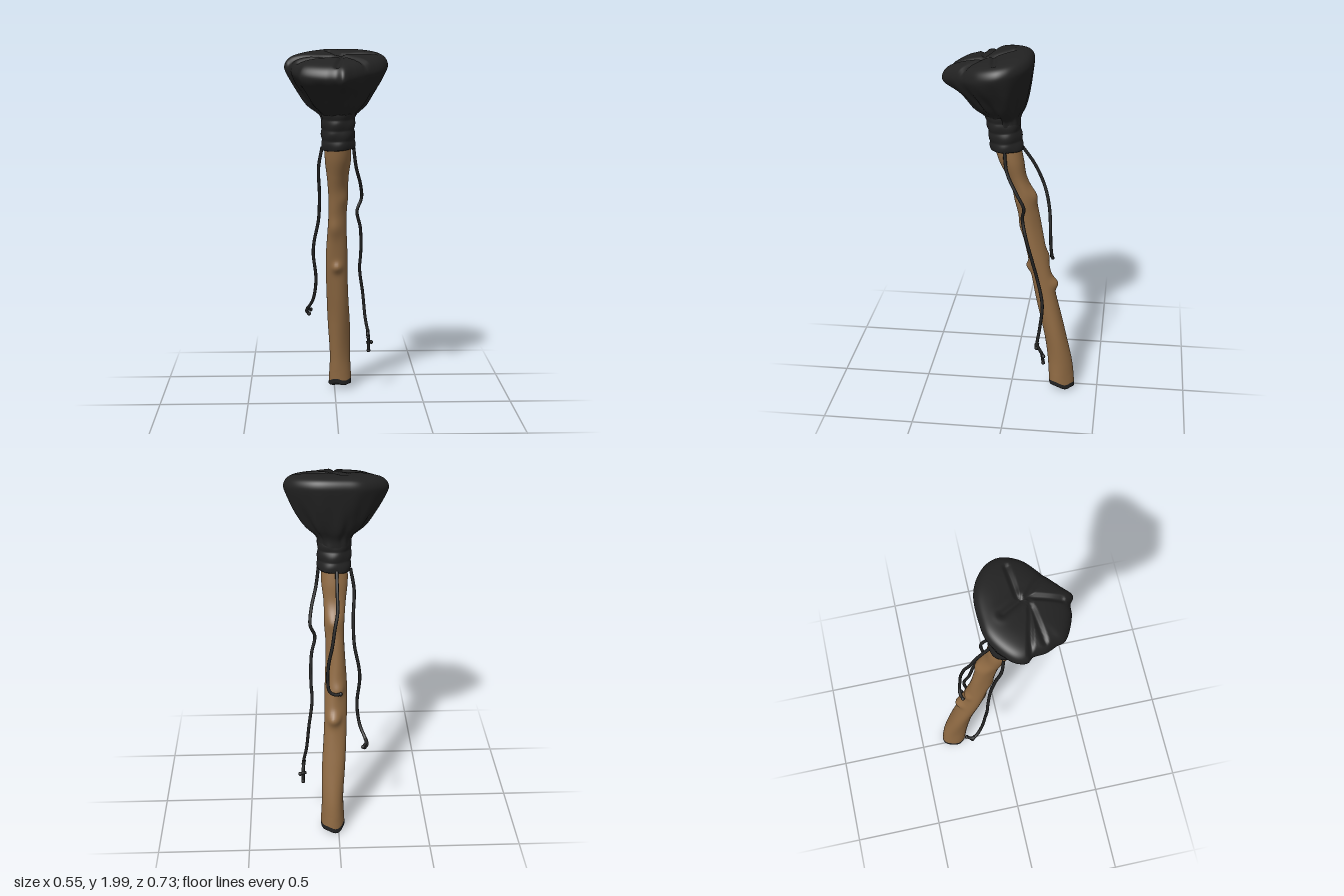
import * as THREE from 'three';

const TAU = Math.PI * 2;
const wood = new THREE.MeshStandardMaterial({ color: 0x8f6a43 });
wood.name = 'brown wood';
const cloth = new THREE.MeshStandardMaterial({ color: 0x222222 });
cloth.name = 'black cloth';

const gauss = (d, w) => Math.exp(-(d * d) / (w * w));

// Smooth interpolation through rows of [key, ...values]
function spline(rows) {
  const size = rows[0].length - 1;
  const f = new THREE.CubicInterpolant(rows.map(r => r[0]), rows.flatMap(r => r.slice(1)), size, new Float32Array(size));
  return t => Array.from(f.evaluate(t));
}

// Closed skin over stacked loops, running from the bottom loop to the top one
function loft(around, rows, point) {
  const pos = [], index = [];
  for (let j = 0; j <= rows; j++)
    for (let i = 0; i < around; i++) pos.push(...point(i / around, j / rows));
  for (let j = 0; j < rows; j++)
    for (let i = 0; i < around; i++) {
      const a = j * around + i, b = j * around + (i + 1) % around;
      index.push(a, a + around, b, b, a + around, b + around);
    }
  const g = new THREE.BufferGeometry();
  g.setAttribute('position', new THREE.Float32BufferAttribute(pos, 3));
  g.setIndex(index);
  g.computeVertexNormals();
  return g;
}

function add(group, name, geometry, material) {
  const mesh = new THREE.Mesh(geometry, material);
  mesh.name = name;
  group.add(mesh);
  return mesh;
}

// Handle rows: height, centre x, centre z, radius x, radius z
const handle = spline([
  [0.00, 0.032, -0.295, 0.068, 0.073], [0.08, 0.031, -0.29, 0.066, 0.071],
  [0.2, 0.03, -0.279, 0.061, 0.068], [0.4, 0.024, -0.241, 0.062, 0.062],
  [0.6, 0.016, -0.194, 0.064, 0.056], [0.8, 0.01, -0.15, 0.06, 0.056],
  [1.0, 0.008, -0.108, 0.053, 0.056], [1.1, 0.01, -0.09, 0.053, 0.056],
  [1.2, 0.012, -0.07, 0.055, 0.056], [1.3, 0.01, -0.03, 0.058, 0.055],
  [1.4, 0.012, 0, 0.07, 0.068], [1.52, 0.012, 0.03, 0.07, 0.068],
]);

// Knots on the wood: height, angle, size, width
const knots = [
  [0.765, 1.6, 0.022, 0.03], [0.67, -1.5, 0.028, 0.035], [1.2, -1.4, 0.014, 0.04],
  [1.0, 1.8, 0.01, 0.05], [1.17, 0.9, 0.01, 0.05], [0.83, -1.9, 0.012, 0.035],
];

function handlePoint(u, y, shrink = 1) {
  const a = u * TAU, [cx, cz, rx, rz] = handle(y);
  let push = 0.0025 * Math.sin(3 * a + 7 * y) + 0.002 * Math.sin(2 * a - 13 * y);
  for (const [ky, ka, size, w] of knots) {
    const da = Math.atan2(Math.sin(a - ka), Math.cos(a - ka));
    push += size * gauss(y - ky, w) * gauss(da, w * 14);
  }
  const z = Math.sin(a) * (rz + push) * shrink;
  const tilt = 0.22 * z * Math.max(0, 1 - y / 0.4);
  const ragged = y < 0.1 ? 0.006 * Math.sin(4 * a) * shrink : 0;
  return [cx + Math.cos(a) * (rx + push) * shrink, y + tilt + ragged, cz + z];
}

// Outline of the sack at its widest, [x, z]
const outline = new THREE.CatmullRomCurve3([
  [0.275, 0.06], [0.245, 0.155], [0.16, 0.24], [0.08, 0.32], [0.03, 0.365], [-0.01, 0.342],
  [-0.07, 0.335], [-0.19, 0.275], [-0.208, 0.23], [-0.237, 0.17], [-0.247, 0.105], [-0.275, 0.07],
  [-0.268, 0.02], [-0.22, -0.04], [-0.13, -0.1], [-0.04, -0.115], [0.08, -0.115], [0.15, -0.095],
  [0.22, -0.05], [0.26, 0],
].map(([x, z]) => new THREE.Vector3(x, 0, z)), true);

// Sack rows: step, height, spread from the neck to the outline
const sack = spline([
  [0, 1.6, 0], [0.08, 1.645, 0.06], [0.18, 1.7, 0.4], [0.3, 1.77, 0.68], [0.4, 1.83, 0.87],
  [0.5, 1.895, 1], [0.57, 1.93, 0.98], [0.65, 1.957, 0.88], [0.75, 1.972, 0.66],
  [0.88, 1.976, 0.32], [1, 1.972, 0],
]);

// Creases across the top, [x, z] to [x, z]
const creases = [
  [0.04, 0.15, -0.25, 0.09], [0.0, 0.14, -0.2, 0.17], [0.02, 0.09, 0.2, 0.07],
  [0.03, 0.13, 0.15, 0.24], [0.03, 0.15, 0.0, 0.3], [0.02, 0.1, -0.04, 0.0],
];

function creaseDepth(x, z) {
  let depth = 0;
  for (const [x0, z0, x1, z1] of creases) {
    const dx = x1 - x0, dz = z1 - z0;
    const k = THREE.MathUtils.clamp(((x - x0) * dx + (z - z0) * dz) / (dx * dx + dz * dz), 0, 1);
    const d = Math.hypot(x - x0 - k * dx, z - z0 - k * dz);
    depth = Math.max(depth, gauss(d, 0.016)) - 0.15 * gauss(d - 0.035, 0.02);
  }
  return depth * 0.014;
}

function sackPoint(u, t) {
  const o = outline.getPoint(u);
  const a = Math.atan2(o.z - 0.1, o.x);
  let [y, s] = sack(t);
  const top = t > 0.5;
  // Gathered pleats deepen halfway between the neck and the rim
  const pleat = 0.5 + 0.3 * Math.sin(9 * a + 5 * t) + 0.2 * Math.sin(15 * a - 9 * t + 1);
  if (!top) s -= 0.17 * pleat * Math.sin(Math.PI * t * 2) * (1 - t);
  const bx = top ? 0.02 : 0.01 + 0.09 * Math.cos(a);
  const bz = top ? 0.1 : 0.04 + 0.088 * Math.sin(a);
  const x = THREE.MathUtils.lerp(bx, o.x, s), z = THREE.MathUtils.lerp(bz, o.z, s);
  y -= (0.19 * (z - 0.07) - 0.02 * x) * THREE.MathUtils.smoothstep(y, 1.72, 1.9);
  if (top) y -= creaseDepth(x, z) * THREE.MathUtils.smoothstep(t, 0.5, 0.62);
  else y += 0.008 * Math.sin(5 * a) * Math.sin(Math.PI * t * 2);
  return [x, y, z];
}

// Cords as [x, y, z] paths
const cords = {
  rightCord: [[-0.075, 1.47, 0.0], [-0.095, 1.35, -0.015], [-0.09, 1.2, -0.05], [-0.095, 1.05, -0.08],
    [-0.12, 0.92, -0.1], [-0.125, 0.85, -0.105], [-0.11, 0.7, -0.115], [-0.125, 0.58, -0.14],
    [-0.152, 0.52, -0.18], [-0.16, 0.505, -0.205], [-0.14, 0.49, -0.235]],
  rightCordFork: [[-0.152, 0.52, -0.19], [-0.164, 0.49, -0.205], [-0.15, 0.472, -0.21]],
  leftCord: [[0.095, 1.47, 0.03], [0.11, 1.36, 0.015], [0.138, 1.25, -0.04], [0.145, 1.17, -0.08],
    [0.12, 1.1, -0.07], [0.14, 1.0, -0.09], [0.145, 0.85, -0.13], [0.14, 0.75, -0.155],
    [0.16, 0.6, -0.187], [0.175, 0.45, -0.175], [0.192, 0.36, -0.165], [0.195, 0.31, -0.19], [0.196, 0.25, -0.2]],
  leftCordFork: [[0.192, 0.38, -0.175], [0.188, 0.36, -0.158], [0.192, 0.34, -0.16]],
  leftCordTwig: [[0.18, 0.3, -0.19], [0.195, 0.302, -0.195], [0.212, 0.3, -0.202]],
  backCord: [[0.0, 1.48, -0.05], [0.0, 1.38, -0.12], [0.0, 1.28, -0.168], [0.015, 1.2, -0.195],
    [0.03, 1.1, -0.212], [0.05, 1.0, -0.218], [0.055, 0.9, -0.223], [0.045, 0.84, -0.23],
    [0.015, 0.822, -0.232], [-0.015, 0.82, -0.222]],
};

export function createModel() {
  const model = new THREE.Group();
  model.name = 'wrappedStaff';

  // Wooden handle and its dark, rounded tip
  add(model, 'handle', loft(40, 150, (u, v) => handlePoint(u, 0.05 + 1.46 * v)), wood);
  add(model, 'handleTip', loft(40, 10, (u, v) => {
    const shrink = Math.sin(Math.min(1, v * 1.6) * Math.PI / 2);
    return handlePoint(u, 0.012 + 0.038 * v * v, shrink);
  }), cloth);

  // Wrapped neck with stacked bands, closed inward at its lower edge
  add(model, 'neckWrap', loft(48, 40, (u, v) => {
    const a = u * TAU, y = 1.455 + 0.2 * v;
    const band = 0.005 * Math.abs(Math.sin(v * Math.PI * 3.5 + 0.3 * Math.sin(a + 1)));
    const r = v === 0 ? 0.062 : 0.086 + band + 0.002 * Math.sin(5 * a + 8 * v);
    return [0.011 + Math.cos(a) * (r + 0.002), y + 0.006 * Math.sin(a + 2), 0.022 + 0.03 * v + Math.sin(a) * r];
  }), cloth);

  // Gathered cloth sack
  add(model, 'sack', loft(140, 64, sackPoint), cloth);

  // Hanging cords with knotted ends
  for (const [name, path] of Object.entries(cords)) {
    const points = path.map(p => new THREE.Vector3(...p));
    const curve = new THREE.CatmullRomCurve3(points);
    add(model, name, new THREE.TubeGeometry(curve, path.length * 6, 0.009, 8), cloth);
    const knot = add(model, name + 'Knot', new THREE.SphereGeometry(0.0115, 10, 8), cloth);
    knot.position.copy(points[points.length - 1]);
  }
  return model;
}
